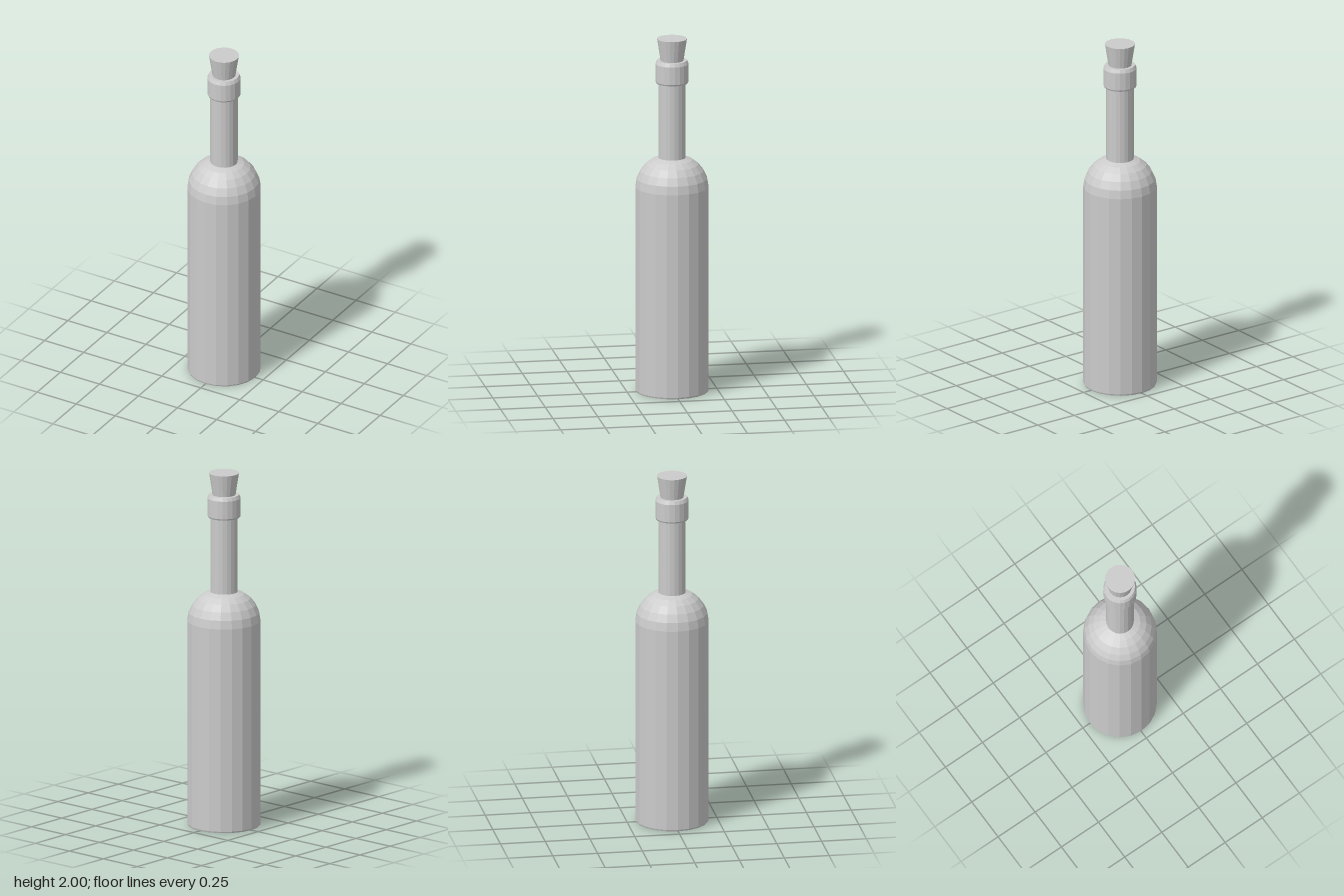
import * as THREE from 'three';

const SIDES = 20;

export function createModel() {
  const group = new THREE.Group();
  const material = new THREE.MeshStandardMaterial({ color: 0xcccccc, flatShading: true });

  // Turn a profile of [radius, height] pairs, listed from bottom to top
  const turn = (name, profile) => {
    const points = profile.map(([r, y]) => new THREE.Vector2(r, y));
    const mesh = new THREE.Mesh(new THREE.LatheGeometry(points, SIDES), material);
    mesh.name = name;
    group.add(mesh);
  };

  // Body with flat base and rounded shoulder
  turn('body', [
    [0, 0], [0.2, 0], [0.203, 0.008], [0.203, 1.16],
    [0.195, 1.207], [0.175, 1.25], [0.146, 1.287], [0.112, 1.312], [0.076, 1.325],
  ]);

  // Straight neck
  turn('neck', [[0.076, 1.32], [0.076, 1.76]]);

  // Lip ring with narrow chamfers, closed around the stopper
  turn('lip', [
    [0.07, 1.75], [0.088, 1.75], [0.092, 1.758], [0.092, 1.858],
    [0.083, 1.877], [0.06, 1.877],
  ]);

  // Tapered stopper, wider at the top
  turn('stopper', [[0, 1.8], [0.055, 1.8], [0.064, 1.877], [0.083, 2], [0, 2]]);

  return group;
}
